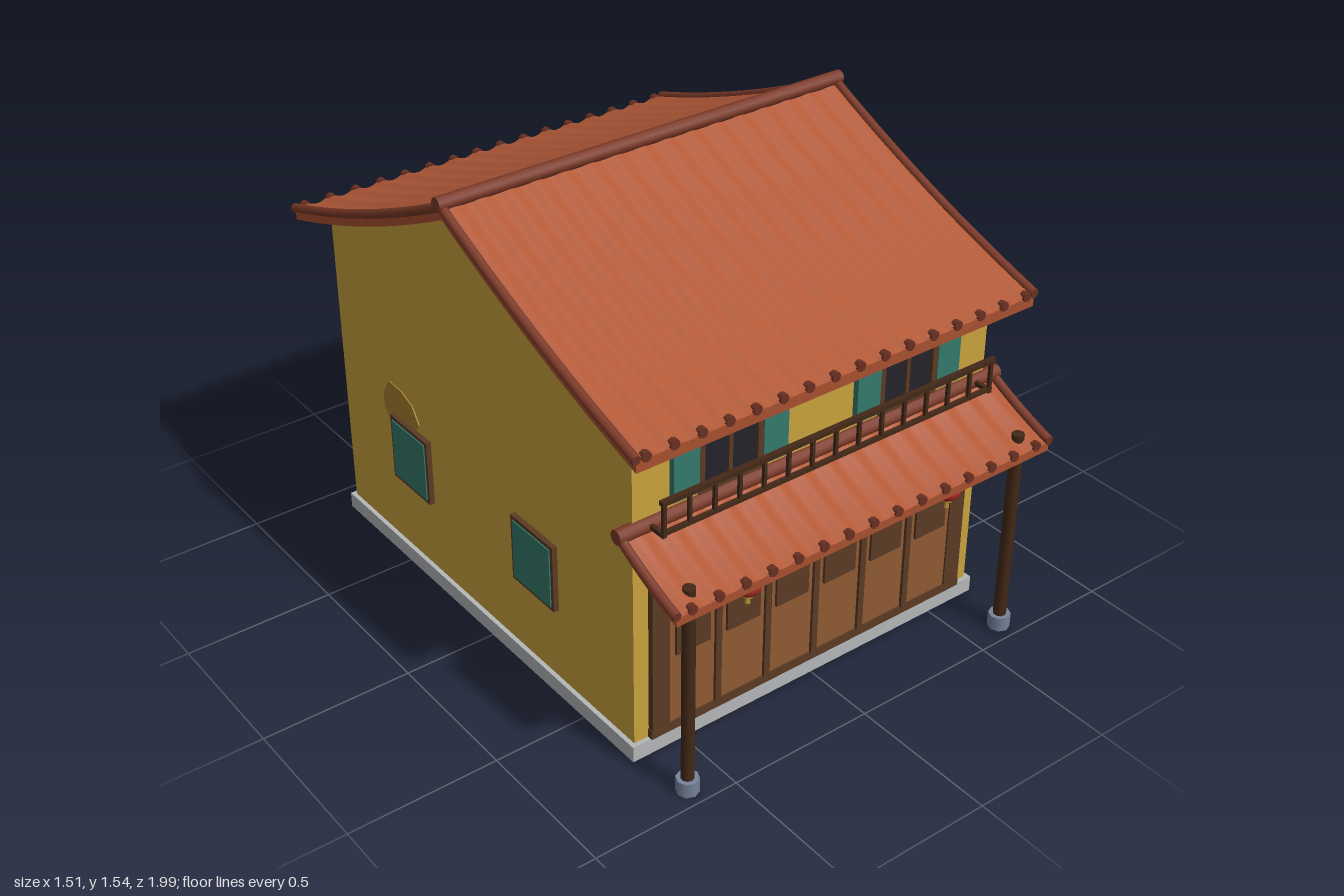
import * as THREE from 'three';

const mat = (color) => new THREE.MeshStandardMaterial({ color, side: THREE.DoubleSide });
const M = {
  wall: mat(0xc9a23e), stain: mat(0xa87f2f), stone: mat(0xb4b6b8), footing: mat(0x75839a),
  tile: mat(0xb35a38), slab: mat(0xa8502f), trim: mat(0x7c3a28), tileEnd: mat(0x6a3022),
  wood: mat(0x5a3a24), door: mat(0x8f5a32), dark: mat(0x432817), pane: mat(0x25222b),
  teal: mat(0x35796b), red: mat(0xb02a22), gold: mat(0xb08a30),
};

function add(parent, name, geo, material, x = 0, y = 0, z = 0) {
  const m = new THREE.Mesh(geo, material);
  m.name = name;
  m.position.set(x, y, z);
  parent.add(m);
  return m;
}
const box = (w, h, d) => new THREE.BoxGeometry(w, h, d);
const cyl = (r, h, n = 8, r2 = r) => new THREE.CylinderGeometry(r2, r, h, n);
const rodX = (r, len, n = 10) => cyl(r, len, n).rotateZ(Math.PI / 2);

function group(parent, name, x = 0, y = 0, z = 0, ry = 0) {
  const g = new THREE.Group();
  g.name = name;
  g.position.set(x, y, z);
  g.rotation.y = ry;
  parent.add(g);
  return g;
}

// Extrudes a [z, y] outline across the width
function extrudeX(pts, width) {
  const shape = new THREE.Shape(pts.map(([z, y]) => new THREE.Vector2(z, y)));
  return new THREE.ExtrudeGeometry(shape, { depth: width, bevelEnabled: false })
    .translate(0, 0, -width / 2).rotateY(-Math.PI / 2);
}

// Concave fall of a roof, t = 0 at the ridge and 1 at the eave
const fall = (t, drop) => -drop * (t + 0.25 * t * (1 - t));
const steps = (n) => Array.from({ length: n + 1 }, (_, i) => i / n);

// One tiled slope running from the ridge at the origin towards +z
function roofSlope(parent, { run, drop, halfW, thick, count }) {
  const pitch = 0.094;
  const crest = (x) => 0.006 + 0.006 * Math.cos(2 * Math.PI * (x / pitch - (count - 1) / 2));
  const top = steps(12).map((t) => [t * run, fall(t, drop)]);
  const under = top.map(([z, y]) => [z, y - thick]).reverse();
  add(parent, 'roofSlab', extrudeX([...top, ...under], halfW * 2), M.slab);

  const tiles = new THREE.PlaneGeometry(halfW * 2 - 0.01, 1, 160, 12);
  const p = tiles.attributes.position;
  for (let i = 0; i < p.count; i++) {
    const t = 0.5 - p.getY(i);
    p.setXYZ(i, p.getX(i), fall(t, drop) + crest(p.getX(i)), t * run);
  }
  tiles.computeVertexNormals();
  add(parent, 'tiles', tiles, M.tile);

  // Round tile ends along the eave
  for (let i = 0; i < count; i++) {
    add(parent, 'tileEnd', cyl(0.016, 0.02).rotateX(Math.PI / 2), M.tileEnd,
      (i - (count - 1) / 2) * pitch, -drop + 0.007, run - 0.005);
  }
  // Rolled verge on both sides
  for (const s of [-1, 1]) {
    const path = new THREE.CatmullRomCurve3(
      top.map(([z, y]) => new THREE.Vector3(s * halfW, y + 0.008, z)));
    add(parent, 'verge', new THREE.TubeGeometry(path, 16, 0.015, 8), M.trim);
    add(parent, 'vergeEnd', cyl(0.015, 0.012).rotateX(Math.PI / 2), M.tileEnd, s * halfW, -drop + 0.008, run - 0.003);
  }
}

function frameGeo(w, h, bar, depth) {
  const rect = (C, a, b) => new C([[-a, -b], [a, -b], [a, b], [-a, b]].map((q) => new THREE.Vector2(...q)));
  const shape = rect(THREE.Shape, w / 2, h / 2);
  shape.holes.push(rect(THREE.Path, w / 2 - bar, h / 2 - bar));
  return new THREE.ExtrudeGeometry(shape, { depth, bevelEnabled: false });
}

// Window facing +z, with open side shutters or closed leaves
function windowUnit(parent, name, w, h, open, x, y, z, ry) {
  const g = group(parent, name, x, y, z, ry);
  add(g, 'frame', frameGeo(w, h, open ? 0.02 : 0.014, 0.018), M.wood);
  if (!open) {
    add(g, 'closedShutter', box(w - 0.025, h - 0.025, 0.022), M.teal, 0, 0, 0.011);
    return;
  }
  add(g, 'pane', box(w - 0.03, h - 0.03, 0.008), M.pane, 0, 0, 0.004);
  add(g, 'mullion', box(0.014, h - 0.03, 0.014), M.wood, 0, 0, 0.007);
  for (const s of [-1, 1]) {
    add(g, 'shutter', box(0.09, h - 0.022, 0.02), M.teal, s * (w / 2 + 0.045), 0, 0.01);
  }
}

// Thin irregular patch of weathered plaster
function stain(parent, w, h, seed, x, y, z, ry) {
  const pts = [];
  for (let i = 0; i < 9; i++) {
    const a = (i / 9) * Math.PI * 2;
    const r = 0.5 * (0.93 + 0.1 * Math.sin(i * 2.3 + seed));
    pts.push(new THREE.Vector2(Math.cos(a) * r * w, Math.sin(a) * r * h));
  }
  const geo = new THREE.ExtrudeGeometry(new THREE.Shape(pts), { depth: 0.004, bevelEnabled: false });
  add(parent, 'plasterPatch', geo, M.stain, x, y, z).rotation.y = ry;
}

export function createModel() {
  const model = new THREE.Group();
  model.name = 'shophouse';
  const F = 0.735, B = -0.88, W = 0.67, R = -0.07, RUN = 0.918, DROP = 0.37;

  // Base and gabled walls following the roof curve
  add(model, 'plinth', box(1.37, 0.055, 1.645), M.stone, 0, 0.0275, -0.0725);
  const gable = steps(20).map((t) => {
    const z = F + (B - F) * t;
    return [z, 1.458 + fall(Math.abs(z - R) / RUN, DROP)];
  });
  gable.push([R, 1.458]);
  gable.sort((a, b) => b[0] - a[0]);
  add(model, 'walls', extrudeX([[B, 0.055], [F, 0.055], ...gable], W * 2), M.wall);

  // Main roof
  const roof = group(model, 'mainRoof', 0, 1.5, R);
  for (const ry of [0, Math.PI]) {
    roofSlope(group(roof, ry ? 'backSlope' : 'frontSlope', 0, 0, 0, ry),
      { run: RUN, drop: DROP, halfW: 0.738, thick: 0.035, count: 16 });
  }
  add(roof, 'ridge', rodX(0.023, 1.51, 12), M.trim, 0, 0.018, 0);

  // Porch roof
  const porch = group(model, 'porchRoof', 0, 0.802, 0.74);
  roofSlope(porch, { run: 0.25, drop: 0.11, halfW: 0.712, thick: 0.028, count: 15 });
  add(porch, 'ridge', rodX(0.024, 1.454, 12), M.trim, 0, 0.018, -0.004);

  // Porch posts on stone footings
  for (const s of [-1, 1]) {
    const post = group(model, 'porchPost', s * 0.63, 0, 0.938);
    add(post, 'footing', cyl(0.036, 0.05), M.footing, 0, 0.025);
    add(post, 'shaft', cyl(0.021, 0.65, 10), M.dark, 0, 0.375);
    add(post, 'postCap', cyl(0.02, 0.03, 10), M.dark, 0, 0.715);
  }

  // Folding door front
  const doors = group(model, 'doorFront', 0, 0, F);
  add(doors, 'lintel', box(1.24, 0.045, 0.03), M.wood, 0, 0.642, 0.01);
  add(doors, 'threshold', box(1.24, 0.03, 0.025), M.wood, 0, 0.07, 0.008);
  add(doors, 'doorLeaves', box(1.12, 0.54, 0.02), M.door, 0, 0.352, 0.005);
  for (const s of [-1, 1]) add(doors, 'jamb', box(0.062, 0.61, 0.025), M.wood, s * 0.586, 0.36, 0.008);
  for (let i = 0; i < 6; i++) {
    const x = (i - 2.5) * 0.188;
    add(doors, 'doorPanel', box(0.125, 0.25, 0.012), M.wood, x, 0.455, 0.018);
    if (i) add(doors, 'doorStile', box(0.022, 0.54, 0.03), M.wood, x - 0.094, 0.352, 0.01);
  }
  add(doors, 'headBoard', box(0.5, 0.065, 0.014), M.dark, 0, 0.705, 0.04);

  // Windows: open at the front and one side, closed at the other side and back
  for (const s of [-1, 1]) windowUnit(model, 'frontWindow', 0.23, 0.2, true, s * 0.336, 0.955, F, 0);
  for (const z of [0.25, -0.45]) {
    windowUnit(model, 'leftWindow', 0.215, 0.24, true, W, 0.43, z, Math.PI / 2);
    windowUnit(model, 'rightWindow', 0.22, 0.235, false, -W, 0.43, z, -Math.PI / 2);
  }
  windowUnit(model, 'backWindow', 0.23, 0.2, false, 0, 0.92, B, Math.PI);

  // Weathered patches
  stain(model, 0.17, 0.14, 0, W, 0.84, 0.56, Math.PI / 2);
  stain(model, 0.19, 0.105, 2, W, 0.893, 0.165, Math.PI / 2);
  stain(model, 0.23, 0.18, 1, -W, 0.58, -0.52, -Math.PI / 2);
  stain(model, 0.12, 0.09, 3, 0.21, 0.67, B, Math.PI);
  stain(model, 0.155, 0.14, 4, 0.21, 0.43, B, Math.PI);

  // Balcony railing
  const rail = group(model, 'balconyRailing', 0, 0, 0.812);
  add(rail, 'topRail', box(1.26, 0.014, 0.018), M.dark, 0, 0.933);
  add(rail, 'bottomRail', box(1.25, 0.012, 0.014), M.dark, 0, 0.832);
  for (let i = 0; i < 15; i++) {
    add(rail, 'baluster', box(0.011, 0.11, 0.011), M.dark, (i - 7) * 0.0885, 0.88);
  }
  for (const s of [-1, 1]) add(rail, 'railBracket', box(0.014, 0.014, 0.08), M.dark, s * 0.62, 0.825, -0.035);

  // Hanging lanterns
  for (const s of [-1, 1]) {
    const lamp = group(model, 'lantern', s * 0.388, 0.605, 0.897);
    add(lamp, 'lanternBody', new THREE.SphereGeometry(0.04, 14, 10).scale(1, 0.92, 1), M.red);
    for (const k of [-1, 1]) add(lamp, 'lanternCap', cyl(0.016, 0.01, 10), M.gold, 0, k * 0.037);
    add(lamp, 'cord', cyl(0.003, 0.07, 6), M.dark, 0, 0.07);
    add(lamp, 'tassel', cyl(0.009, 0.024, 6, 0.004), M.gold, 0, -0.053);
  }
  return model;
}
